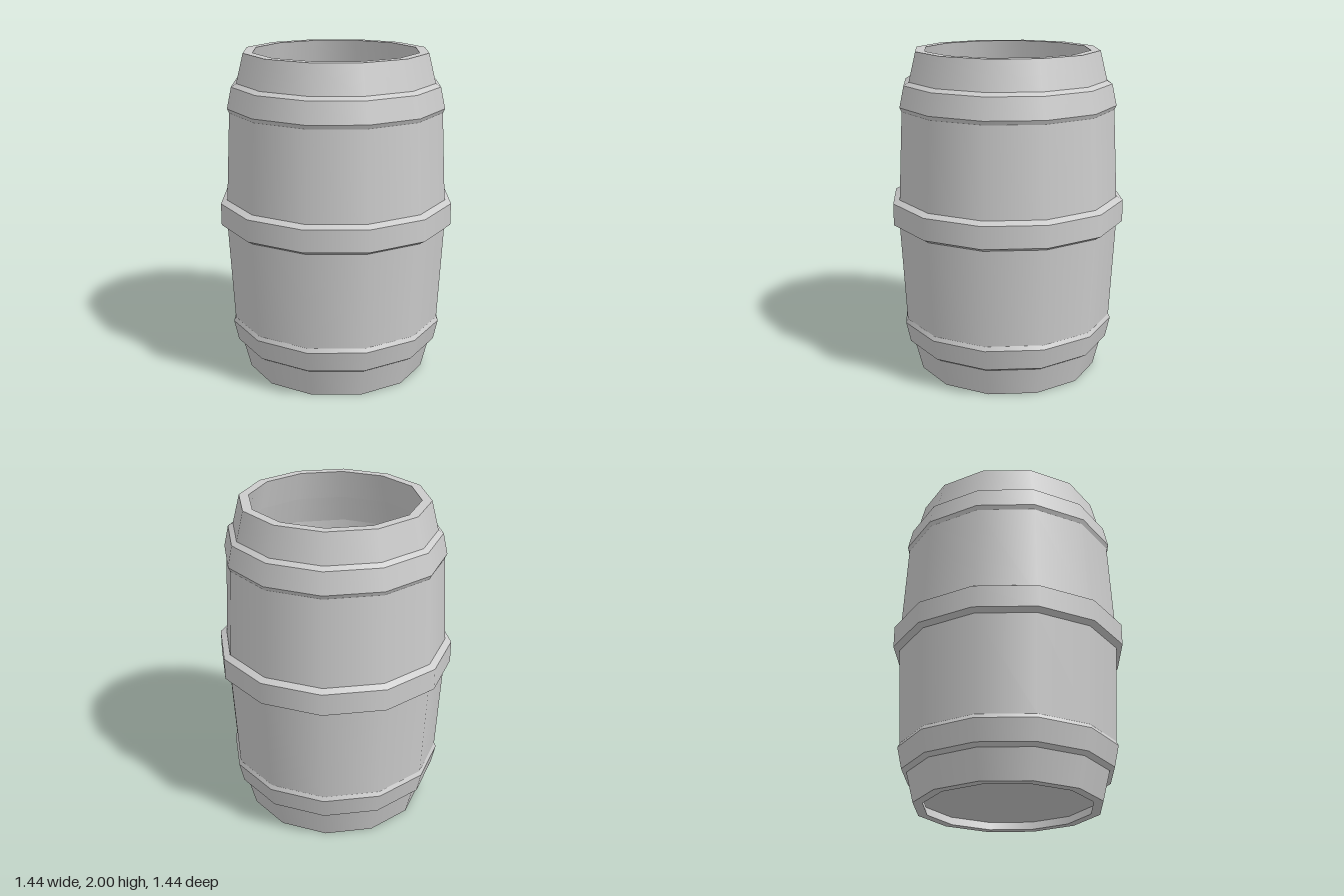
import * as THREE from 'three';
import { mergeGeometries } from 'three/addons/utils/BufferGeometryUtils.js';

const SIDES = 12;
const material = new THREE.MeshStandardMaterial({ color: 0xcccccc });

// Turns a [radius, y] profile; each span is its own lathe, so rings stay sharp
// while the shading runs smoothly around the barrel.
function turned(name, profile) {
  const spans = [];
  for (let i = 0; i < profile.length - 1; i++) {
    const pair = [profile[i], profile[i + 1]].map(([r, y]) => new THREE.Vector2(r, y));
    spans.push(new THREE.LatheGeometry(pair, SIDES));
  }
  const mesh = new THREE.Mesh(mergeGeometries(spans), material);
  mesh.name = name;
  return mesh;
}

// Flips a profile about mid height, keeping its bottom-to-top order
const flip = (profile) => profile.map(([r, y]) => [r, 2 - y]).reverse();

export function createModel() {
  const group = new THREE.Group();
  group.name = 'barrel';

  // Staves: outside from bottom to top, over the rim, down the hollow inside
  const outerHalf = [[0.563, 0], [0.607, 0.176], [0.654, 0.349], [0.685, 0.943]];
  const innerHalf = [[0.505, 0], [0.55, 0.18], [0.597, 0.35], [0.628, 0.943]];
  const outer = [...outerHalf, ...flip(outerHalf)];
  const inner = [...innerHalf, ...flip(innerHalf)].reverse();
  group.add(turned('staves', [...outer, ...inner, outer[0]]));

  // Hoops with bevelled edges
  const endHoop = [[0.606, 0.175], [0.638, 0.195], [0.666, 0.323], [0.653, 0.35]];
  group.add(turned('lowerHoop', endHoop));
  group.add(turned('middleHoop', [[0.684, 0.942], [0.722, 0.964], [0.722, 1.098], [0.684, 1.119]]));
  group.add(turned('upperHoop', flip(endHoop)));

  // Floor set slightly above the bottom rim
  const floor = new THREE.Mesh(new THREE.CylinderGeometry(0.53, 0.525, 0.04, SIDES), material);
  floor.name = 'floor';
  floor.position.y = 0.07;
  group.add(floor);

  return group;
}
